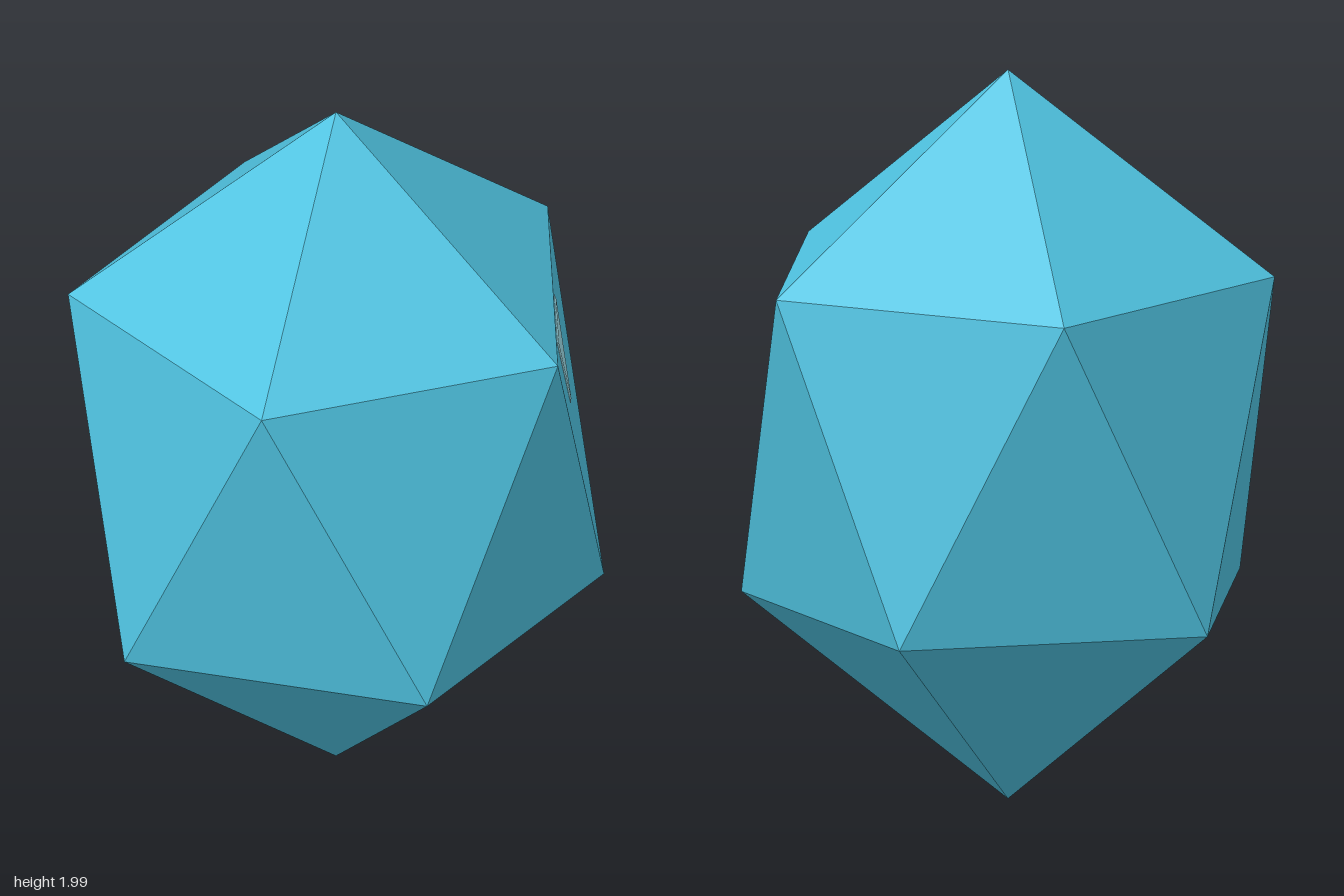
import * as THREE from 'three';

const RADIUS = 0.715, UPPER = 1.45, LOWER = 0.557, TOP = 2, BOTTOM = 0.007;
const STEP = Math.PI * 2 / 5;

const ringPoint = (angle, y) => new THREE.Vector3(RADIUS * Math.cos(angle), y, RADIUS * Math.sin(angle));

// Stretched icosahedron: two five-point rings, half a step apart, and two tips
function gemGeometry() {
  const top = new THREE.Vector3(0, TOP, 0), bottom = new THREE.Vector3(0, BOTTOM, 0);
  const points = [];
  for (let i = 0; i < 5; i++) {
    const u0 = ringPoint(i * STEP, UPPER), u1 = ringPoint((i + 1) * STEP, UPPER);
    const l0 = ringPoint((i + 0.5) * STEP, LOWER), l1 = ringPoint((i + 1.5) * STEP, LOWER);
    points.push(top, u1, u0, u0, u1, l0, l0, u1, l1, l0, l1, bottom);
  }
  const geometry = new THREE.BufferGeometry().setFromPoints(points);
  geometry.computeVertexNormals();
  return geometry;
}

// Small triangular plate with a bevelled rim, drawn in the plane of its facet
function plateGeometry() {
  const shape = new THREE.Shape([
    new THREE.Vector2(-0.268, -0.02),
    new THREE.Vector2(-0.151, -0.262),
    new THREE.Vector2(-0.034, -0.02),
  ]);
  return new THREE.ExtrudeGeometry(shape, {
    depth: 0.001, bevelEnabled: true, bevelThickness: 0.004, bevelSize: 0.011, bevelSegments: 1,
  });
}

export function createModel() {
  const blue = new THREE.MeshStandardMaterial({ color: 0x4fc3e1 });
  blue.name = 'skyBlue';
  blue.flatShading = true;
  const pale = new THREE.MeshStandardMaterial({ color: 0x9fdbe6 });
  pale.name = 'paleBlue';
  pale.flatShading = true;

  const model = new THREE.Group();
  model.name = 'gem';

  const body = new THREE.Mesh(gemGeometry(), blue);
  body.name = 'gemBody';
  model.add(body);

  // The plate hangs just below the upper edge of the front left facet
  const left = ringPoint(STEP, UPPER), right = ringPoint(0, UPPER), low = ringPoint(STEP / 2, LOWER);
  const middle = left.clone().add(right).multiplyScalar(0.5);
  const across = right.clone().sub(left).normalize();
  const up = middle.clone().sub(low).normalize();
  const out = across.clone().cross(up);
  const plate = new THREE.Mesh(plateGeometry(), pale);
  plate.name = 'facetPlate';
  plate.quaternion.setFromRotationMatrix(new THREE.Matrix4().makeBasis(across, up, out));
  plate.position.copy(middle);
  model.add(plate);

  return model;
}
